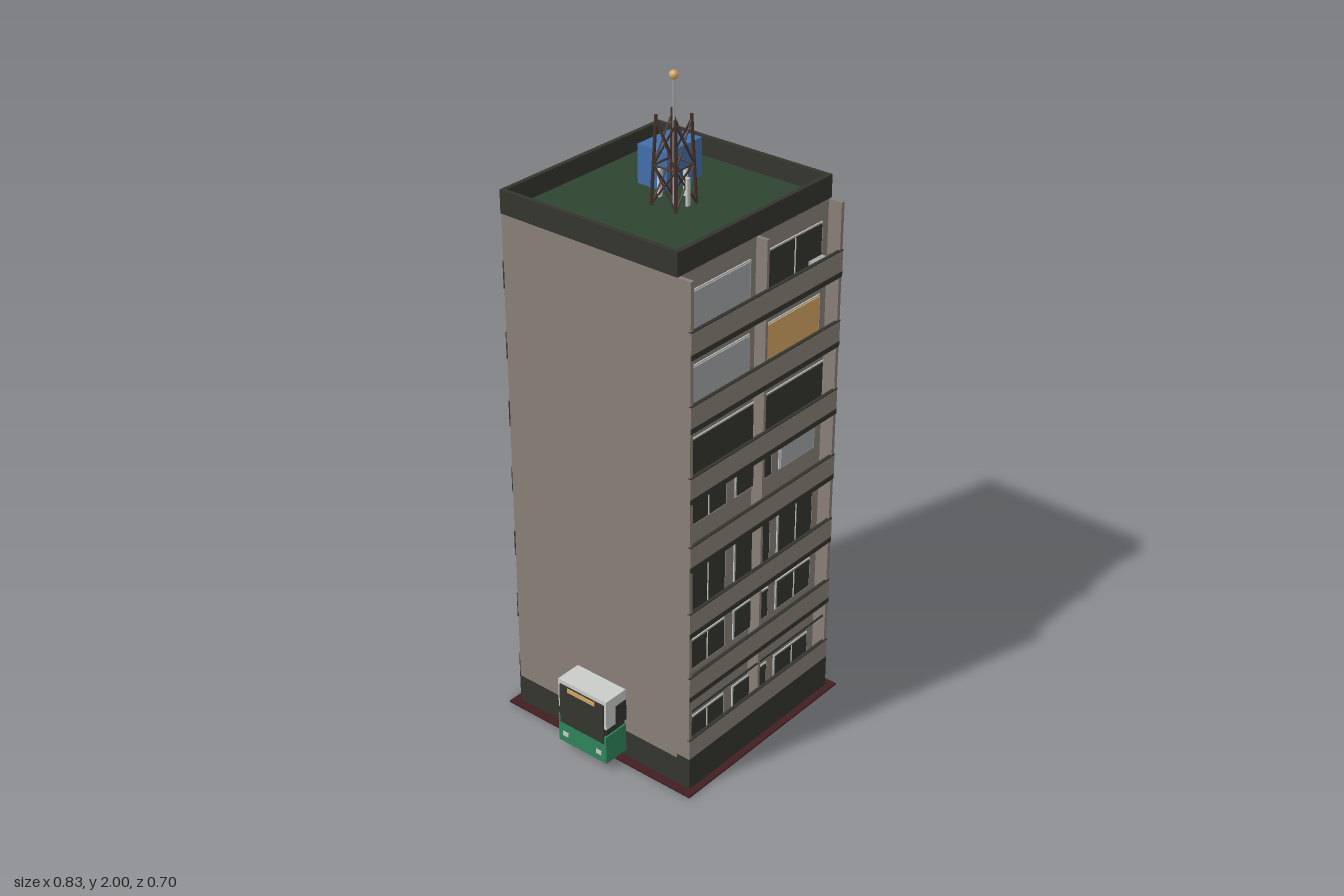
import * as THREE from 'three';

const mat = (name, color) => new THREE.MeshStandardMaterial({ name, color });

export function createModel() {
  const M = {
    wall: mat('warm grey wall', 0x8a7f78),
    dark: mat('charcoal', 0x34352d),
    roof: mat('roof green', 0x2e4530),
    maroon: mat('maroon pavement', 0x421e22),
    blue: mat('blue', 0x426fab),
    tan: mat('amber', 0xd3a563),
    white: mat('pale grey', 0xc9ccc8),
    green: mat('vehicle green', 0x2f855a),
    pane: mat('curtain grey', 0xa3a5a6),
    brown: mat('rusty steel', 0x45322d),
  };
  const model = new THREE.Group();
  model.name = 'apartmentTower';

  const group = (name, parent = model) => {
    const g = new THREE.Group();
    g.name = name;
    parent.add(g);
    return g;
  };
  // Box given by its minimum and maximum on each axis
  const box = (name, m, [x0, x1], [y0, y1], [z0, z1], parent = model) => {
    const mesh = new THREE.Mesh(new THREE.BoxGeometry(x1 - x0, y1 - y0, z1 - z0), m);
    mesh.position.set((x0 + x1) / 2, (y0 + y1) / 2, (z0 + z1) / 2);
    mesh.name = name;
    parent.add(mesh);
    return mesh;
  };
  // Round bar between two points
  const bar = (name, m, a, b, r, parent) => {
    const p = new THREE.Vector3(...a), q = new THREE.Vector3(...b);
    const mesh = new THREE.Mesh(new THREE.CylinderGeometry(r, r, p.distanceTo(q), 6), m);
    mesh.position.copy(p).lerp(q, 0.5);
    mesh.quaternion.setFromUnitVectors(new THREE.Vector3(0, 1, 0), q.sub(p).normalize());
    mesh.name = name;
    parent.add(mesh);
  };

  // Main volume
  const W = 0.325, FACE = 0.285, FRONT = 0.33;
  box('pavement', M.maroon, [-0.352, 0.352], [0.001, 0.006], [-0.352, 0.352]);
  box('plinth', M.dark, [-W, W], [0, 0.097], [-FRONT, FRONT]);
  box('frontPlinth', M.dark, [-W, W], [0.097, 0.111], [FACE, FRONT]);
  box('body', M.wall, [-W, W], [0.097, 1.612], [-0.327, FACE]);

  // Vertical fins dividing the balconies
  for (const s of [-1, 1]) {
    const xs = s < 0 ? [-W, -W + 0.012] : [W - 0.012, W];
    box('sideFin', M.wall, xs, [0.097, 1.612], [FACE, FRONT - 0.002]);
  }
  box('centreFin', M.wall, [-0.005, 0.005], [0.111, 1.612], [FACE, FRONT - 0.008]);

  // Window: frame, glass and mullion on the recessed wall
  const windowUnit = (parent, x0, x1, y0, y1, glass, split) => {
    const w = group('window', parent);
    box('frame', M.white, [x0 - 0.006, x1 + 0.006], [y0 - 0.005, y1 + 0.005], [FACE - 0.002, FACE + 0.003], w);
    box('glass', glass, [x0, x1], [y0, y1], [FACE, FACE + 0.006], w);
    if (split) {
      const c = (x0 + x1) / 2;
      box('mullion', M.white, [c - 0.002, c + 0.002], [y0, y1], [FACE, FACE + 0.008], w);
    }
  };
  const { dark: D, pane: P, tan: T } = M;
  const pair = [[-0.28, -0.035], [0.038, 0.278]];
  const triple = [[-0.277, -0.126], [-0.075, 0.075], [0.122, 0.275]];
  // Each floor: window spans, sill and head above the slab, glass colours
  const floors = [
    [triple, 0.02, 0.1, [D, D, D]],
    [triple, 0.06, 0.15, [D, D, D]],
    [triple, 0.03, 0.195, [D, D, D]],
    [triple, 0.105, 0.205, [D, D, P]],
    [[[-0.305, -0.01], [0.01, 0.305]], 0.02, 0.15, [D, D]],
    [pair, 0.015, 0.152, [P, T]],
    [pair, 0.015, 0.155, [P, D]],
  ];
  floors.forEach(([spans, sill, head, glass], i) => {
    const y = 0.104 + i * 0.2155;
    const f = group('floor' + (i + 1));
    box('slab', M.dark, [-W + 0.001, W - 0.001], [y - 0.008, y + 0.008], [FACE, FRONT + 0.001], f);
    box('balconyRail', M.wall, [-W, W], [y + 0.008, y + 0.071], [FRONT - 0.008, FRONT], f);
    box('railCap', M.dark, [-W, W], [y + 0.071, y + 0.074], [FRONT - 0.009, FRONT + 0.001], f);
    spans.forEach(([a, b], k) =>
      windowUnit(f, a, b, y + sill, y + head, glass[k], glass[k] === D && i !== 4));
    // Strip window on the rear
    box('rearBand', M.dark, [-W, W], [y - 0.008, y + 0.074], [-FRONT, -0.325], f);
  });
  box('groundFloorRail', M.dark, [-W + 0.012, W - 0.012], [0.262, 0.267], [FRONT - 0.012, FRONT - 0.008]);
  box('airConditioner', M.pane, [0.22, 0.28], [1.405, 1.46], [0.29, 0.316]);
  box('sideSign', M.blue, [W, W + 0.006], [1.442, 1.525], [-0.1, 0.1]);

  // Roof with parapet
  const roof = group('roof');
  box('roofDeck', M.roof, [-0.315, 0.315], [1.61, 1.622], [-0.32, 0.275], roof);
  for (const s of [-1, 1]) {
    const xs = s < 0 ? [-W, -0.311] : [0.311, W];
    box('sideParapet', M.dark, xs, [1.611, 1.68], [-FRONT, FACE], roof);
  }
  box('rearParapet', M.dark, [-0.311, 0.311], [1.611, 1.68], [-FRONT, -0.316], roof);
  box('frontParapet', M.dark, [-0.311, 0.311], [1.611, 1.68], [0.271, FACE], roof);
  box('waterTank', M.blue, [0.045, 0.194], [1.62, 1.737], [-0.166, -0.062], roof);

  // Lattice mast: four identical braced sides
  const mast = group('mast');
  const Y0 = 1.62, Y1 = 1.878, B = 0.043, A = 0.033;
  for (let i = 0; i < 4; i++) {
    const side = group('mastSide', mast);
    side.rotation.y = i * Math.PI / 2;
    const at = (s, t) => {
      const r = B + (A - B) * t;
      return [s * r, Y0 + (Y1 - Y0) * t, r];
    };
    bar('leg', M.brown, at(1, 0), at(1, 1), 0.005, side);
    for (const [lo, hi] of [[0.02, 0.45], [0.45, 0.95]]) {
      bar('brace', M.brown, at(-1, lo), at(1, hi), 0.0028, side);
      bar('brace', M.brown, at(1, lo), at(-1, hi), 0.0028, side);
    }
    bar('tie', M.brown, at(-1, 0.45), at(1, 0.45), 0.0028, side);
    if (i !== 3) box('antennaPanel', M.white, [-0.006, 0.006], [1.63, 1.71], [0.045, 0.053], side);
  }
  bar('pole', M.pane, [0, 1.62, 0], [0, 1.98, 0], 0.004, mast);
  const beacon = new THREE.Mesh(new THREE.SphereGeometry(0.013, 12, 8), M.tan);
  beacon.position.y = 1.987;
  beacon.name = 'beacon';
  mast.add(beacon);

  // Vehicle end emerging from each side wall
  for (const s of [1, -1]) {
    const v = group('vehicleEnd');
    v.rotation.y = s > 0 ? 0 : Math.PI;
    box('lowerBody', M.green, [0.31, 0.412], [0.028, 0.122], [-0.092, 0.092], v);
    box('waist', M.dark, [0.31, 0.404], [0.122, 0.148], [-0.087, 0.087], v);
    box('upperBody', M.white, [0.31, 0.41], [0.148, 0.245], [-0.092, 0.092], v);
    box('windscreen', M.dark, [0.406, 0.414], [0.097, 0.232], [-0.084, 0.084], v);
    box('destinationBoard', M.tan, [0.41, 0.416], [0.216, 0.23], [-0.052, 0.052], v);
    for (const z of [-1, 1]) {
      box('headlamp', M.white, [0.409, 0.415], [0.052, 0.066], [z * 0.064 - 0.01, z * 0.064 + 0.01], v);
      box('sideWindow', M.dark, [0.31, s > 0 ? 0.336 : 0.37], [0.14, 0.21], [z * 0.092 - 0.002, z * 0.092 + 0.002], v);
    }
  }
  return model;
}
